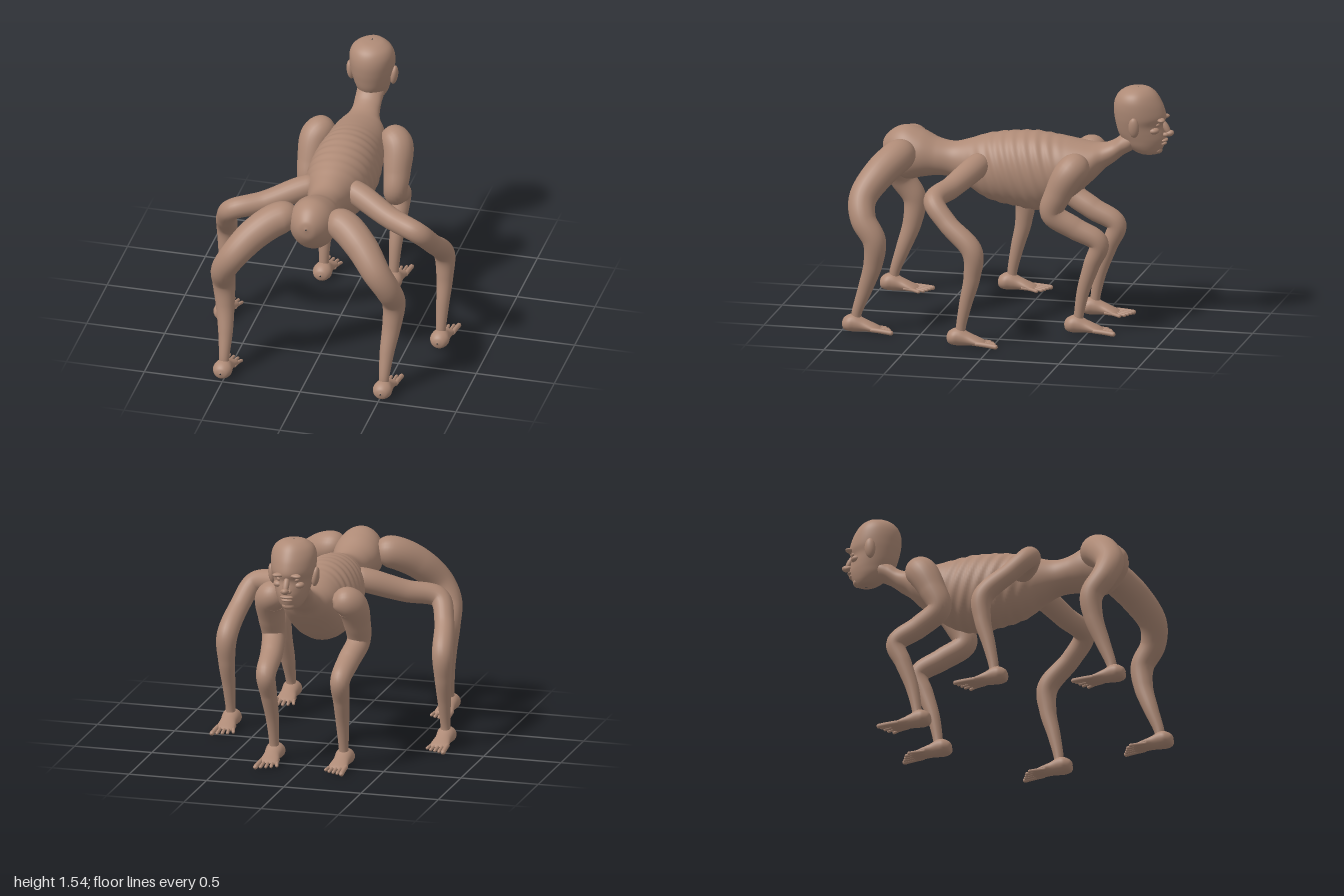
import * as THREE from 'three';

const skin = new THREE.MeshStandardMaterial({ color: 0xae8a76 });
skin.name = 'skin';

// Smooth interpolation through rows of numbers, u from 0 to 1
function keyed(rows) {
  const size = rows[0].length;
  const spline = new THREE.CubicInterpolant(rows.map((_, i) => i), rows.flat(), size, new Array(size));
  return (u) => Array.from(spline.evaluate(u * (rows.length - 1)));
}

// Closed skin over rings: point(u, angle) gives each vertex
function loft(n, m, point) {
  const pos = [], index = [];
  for (let i = 0; i <= n; i++) {
    for (let j = 0; j < m; j++) pos.push(...point(i / n, (j / m) * Math.PI * 2));
  }
  for (let i = 0; i < n; i++) {
    for (let j = 0; j < m; j++) {
      const k = (j + 1) % m, a = i * m + j, b = i * m + k, c = a + m, d = b + m;
      index.push(a, b, c, b, d, c);
    }
  }
  // Turn the faces outward if the enclosed volume is negative
  const v = (i) => new THREE.Vector3().fromArray(pos, i * 3);
  let volume = 0;
  for (let i = 0; i < index.length; i += 3) {
    volume += v(index[i]).dot(v(index[i + 1]).cross(v(index[i + 2])));
  }
  if (volume < 0) index.reverse();
  const geo = new THREE.BufferGeometry();
  geo.setAttribute('position', new THREE.Float32BufferAttribute(pos, 3));
  geo.setIndex(index);
  geo.computeVertexNormals();
  return geo;
}

function add(parent, name, geo) {
  const mesh = new THREE.Mesh(geo, skin);
  mesh.name = name;
  parent.add(mesh);
  return mesh;
}

function ball(parent, name, p, s, tilt = 0) {
  const mesh = add(parent, name, new THREE.SphereGeometry(1, 24, 16));
  mesh.position.set(...p);
  mesh.scale.set(...s);
  mesh.rotation.x = tilt;
  return mesh;
}

// Round-ended tube through rows of x, y, z, radius
function limb(rows, side, n = 100, m = 24) {
  const path = new THREE.CatmullRomCurve3(rows.map(([x, y, z]) => new THREE.Vector3(x * side, y, z)));
  const radius = keyed(rows.map((r) => [r[3]]));
  const frames = path.computeFrenetFrames(n);
  const length = path.getLength();
  return loft(n, m, (u, a) => {
    const i = Math.round(u * n);
    let r = radius(path.getUtoTmapping(u))[0];
    const d = Math.min(u, 1 - u) * length;
    if (d < r) r *= Math.sqrt(Math.max(1e-5, 1 - (1 - d / r) ** 2));
    return path.getPointAt(u)
      .addScaledVector(frames.normals[i], r * Math.cos(a))
      .addScaledVector(frames.binormals[i], r * Math.sin(a)).toArray();
  });
}

// Sections: z, top, bottom, half width, from rump to neck
const torsoKeys = keyed([
  [0.857, 1.085, 1.075, 0.005], [0.84, 1.135, 1.0, 0.06], [0.78, 1.19, 0.92, 0.115],
  [0.7, 1.212, 0.87, 0.148], [0.6, 1.185, 0.89, 0.15], [0.5, 1.14, 0.905, 0.125],
  [0.4, 1.125, 0.895, 0.112], [0.3, 1.15, 0.845, 0.135], [0.2, 1.185, 0.785, 0.172],
  [0.1, 1.205, 0.755, 0.197], [0, 1.217, 0.74, 0.207], [-0.12, 1.222, 0.722, 0.21],
  [-0.22, 1.212, 0.74, 0.203], [-0.32, 1.197, 0.79, 0.193], [-0.42, 1.18, 0.87, 0.178],
  [-0.5, 1.17, 0.945, 0.15], [-0.56, 1.175, 1.01, 0.108], [-0.62, 1.2, 1.055, 0.088],
  [-0.68, 1.245, 1.105, 0.085], [-0.75, 1.27, 1.15, 0.08], [-0.77, 1.23, 1.2, 0.01],
]);

function torso() {
  return loft(200, 64, (u, a) => {
    const [z, top, bottom, w] = torsoKeys(u);
    const c = Math.cos(a), s = Math.sin(a);
    // Slanted ribs that fade toward spine, belly, waist and shoulders
    const mask = THREE.MathUtils.smoothstep(z, -0.36, -0.2) * (1 - THREE.MathUtils.smoothstep(z, 0.12, 0.34));
    const rib = 1 + 0.022 * mask * (0.25 + 0.75 * Math.abs(c)) * Math.sin((z - 0.08 * s) * 84);
    return [w * c * rib, (top + bottom) / 2 + ((top - bottom) / 2) * s * rib, z];
  });
}

// Sections: y, back z, front z, half width, from chin to crown
const headKeys = keyed([
  [1.118, -0.83, -0.85, 0.005], [1.123, -0.78, -0.895, 0.045], [1.145, -0.735, -0.918, 0.07],
  [1.18, -0.69, -0.935, 0.09], [1.22, -0.665, -0.945, 0.103], [1.26, -0.645, -0.942, 0.114],
  [1.31, -0.632, -0.933, 0.126], [1.36, -0.622, -0.948, 0.138], [1.42, -0.618, -0.935, 0.143],
  [1.47, -0.628, -0.912, 0.138], [1.51, -0.652, -0.885, 0.117], [1.538, -0.695, -0.85, 0.077],
  [1.548, -0.74, -0.81, 0.035], [1.549, -0.77, -0.78, 0.005],
]);

function head() {
  const group = new THREE.Group();
  group.name = 'head';
  add(group, 'skull', loft(80, 48, (u, a) => {
    const [y, back, front, w] = headKeys(u);
    const s = Math.sin(a);
    const taper = 1 - 0.2 * Math.max(0, -s) ** 2;
    return [w * Math.cos(a) * taper, y, (back + front) / 2 + ((back - front) / 2) * s];
  }));
  ball(group, 'noseBridge', [0, 1.295, -0.948], [0.02, 0.055, 0.02], 0.5);
  ball(group, 'noseTip', [0, 1.258, -0.97], [0.024, 0.02, 0.03], 0.3);
  ball(group, 'upperLip', [0, 1.215, -0.938], [0.042, 0.011, 0.022]);
  ball(group, 'lowerLip', [0, 1.193, -0.932], [0.036, 0.011, 0.02]);
  ball(group, 'chin', [0, 1.15, -0.9], [0.04, 0.025, 0.025]);
  for (const side of [-1, 1]) {
    ball(group, 'ear', [side * 0.14, 1.315, -0.775], [0.024, 0.064, 0.034]).rotation.z = side * -0.12;
    ball(group, 'brow', [side * 0.05, 1.352, -0.925], [0.045, 0.014, 0.026]).rotation.y = side * 0.45;
    ball(group, 'eye', [side * 0.054, 1.322, -0.905], [0.018, 0.014, 0.016]);
    ball(group, 'nostril', [side * 0.02, 1.253, -0.95], [0.015, 0.014, 0.02]);
    ball(group, 'cheek', [side * 0.065, 1.285, -0.885], [0.035, 0.022, 0.035]);
  }
  return group;
}

// Sections: z, top, bottom, centre x, half width, from heel to ball
const footKeys = keyed([
  [0.088, 0.06, 0.05, 0, 0.005], [0.075, 0.09, 0.018, 0, 0.04], [0.04, 0.112, 0.006, 0, 0.06],
  [0, 0.115, 0.005, 0, 0.057], [-0.05, 0.09, 0.008, 0, 0.052], [-0.1, 0.066, 0.008, -0.002, 0.058],
  [-0.14, 0.046, 0.008, 0, 0.06], [-0.165, 0.03, 0.016, 0.006, 0.04],
]);

function foot(side) {
  const group = new THREE.Group();
  group.name = 'foot';
  add(group, 'sole', loft(40, 28, (u, a) => {
    const [z, top, bottom, x, w] = footKeys(u);
    return [side * (x + w * Math.cos(a)), (top + bottom) / 2 + ((top - bottom) / 2) * Math.sin(a), z];
  }));
  // Big toe on the outside, small toes fanning inward
  for (let i = 0; i < 5; i++) {
    const x = 0.045 - i * 0.023, end = -0.252 + i * 0.014 + (i === 4 ? 0.012 : 0);
    const r = i ? 0.0105 : 0.015;
    add(group, 'toe', limb([
      [x, 0.032, -0.1 + i * 0.008, r], [x + 0.004 - i * 0.003, 0.027, -0.17 + i * 0.01, r],
      [x + 0.009 - i * 0.008, 0.018, end, r],
    ], side, 24, 10));
  }
  return group;
}

// Each leg: x, y, z, radius from body to ankle
const legs = {
  frontLeg: [
    [0.16, 1.08, -0.47, 0.08], [0.255, 1.045, -0.405, 0.098], [0.277, 0.9, -0.325, 0.085],
    [0.275, 0.775, -0.285, 0.074], [0.25, 0.68, -0.42, 0.07], [0.24, 0.59, -0.575, 0.062],
    [0.235, 0.45, -0.53, 0.052], [0.227, 0.28, -0.475, 0.041], [0.225, 0.12, -0.445, 0.031],
    [0.225, 0.06, -0.44, 0.032]],
  middleLeg: [
    [0.08, 1.04, 0.19, 0.07], [0.2, 1.005, 0.235, 0.077], [0.4, 0.935, 0.325, 0.07],
    [0.595, 0.89, 0.392, 0.066], [0.66, 0.77, 0.29, 0.062], [0.697, 0.61, 0.125, 0.066],
    [0.7, 0.45, 0.125, 0.053], [0.697, 0.28, 0.165, 0.041], [0.695, 0.12, 0.197, 0.031],
    [0.695, 0.06, 0.2, 0.032]],
  rearLeg: [
    [0.09, 1.07, 0.68, 0.085], [0.2, 1.062, 0.712, 0.102], [0.34, 0.98, 0.8, 0.1],
    [0.46, 0.845, 0.878, 0.088], [0.525, 0.73, 0.86, 0.08], [0.545, 0.6, 0.785, 0.073],
    [0.535, 0.45, 0.795, 0.06], [0.518, 0.28, 0.85, 0.046], [0.513, 0.12, 0.905, 0.032],
    [0.513, 0.06, 0.91, 0.032]],
};

export function createModel() {
  const model = new THREE.Group();
  model.name = 'creature';
  add(model, 'torso', torso());
  model.add(head());
  for (const [name, rows] of Object.entries(legs)) {
    const [x, , z] = rows[rows.length - 1];
    for (const side of [-1, 1]) {
      const leg = new THREE.Group();
      leg.name = name;
      add(leg, 'limb', limb(rows, side));
      const paw = foot(side);
      paw.position.set(x * side, 0, z);
      leg.add(paw);
      model.add(leg);
    }
  }
  return model;
}
